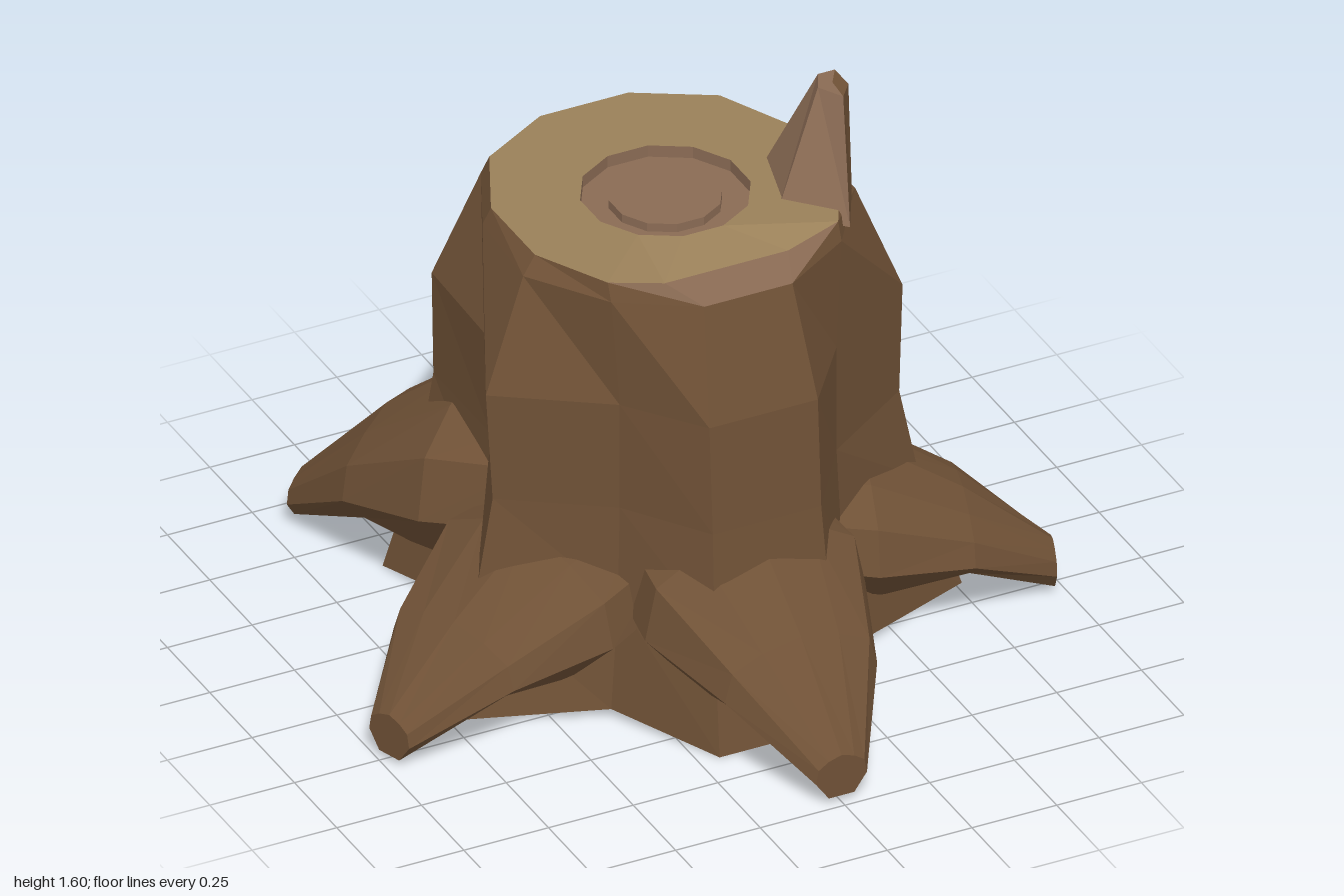
import * as THREE from 'three';

const material = (color) => new THREE.MeshStandardMaterial({ color, flatShading: true, roughness: 1 });
const bark = material(0x6f5136);
const cutWood = material(0x9a8059);
const coreWood = material(0x8a6b54);

// Skins a list of equal-length rings of [x, y, z]; optional fan caps at either end
function loft(rings, capStart = false, capEnd = false) {
  const pos = [];
  const tri = (a, b, c) => {
    const u = new THREE.Vector3(...a), v = new THREE.Vector3(...b), w = new THREE.Vector3(...c);
    if (v.clone().sub(u).cross(w.clone().sub(u)).length() > 1e-7) pos.push(...a, ...b, ...c);
  };
  const n = rings[0].length;
  const centre = (r) => [0, 1, 2].map((k) => r.reduce((s, p) => s + p[k], 0) / n);
  const first = rings[0], last = rings[rings.length - 1];
  for (let i = 0; i < n; i++) {
    const j = (i + 1) % n;
    for (let k = 0; k < rings.length - 1; k++) {
      const lo = rings[k], hi = rings[k + 1];
      tri(lo[i], lo[j], hi[i]);
      tri(lo[j], hi[j], hi[i]);
    }
    if (capStart) tri(centre(first), first[j], first[i]);
    if (capEnd) tri(centre(last), last[i], last[j]);
  }
  const geometry = new THREE.BufferGeometry();
  geometry.setAttribute('position', new THREE.Float32BufferAttribute(pos, 3));
  geometry.computeVertexNormals();
  return geometry;
}

function add(parent, name, geometry, mat) {
  const mesh = new THREE.Mesh(geometry, mat);
  mesh.name = name;
  parent.add(mesh);
  return mesh;
}

// Mirrors the left half of a ring (front to back) onto the right
const mirrored = (half) => [...half, ...half.map(([x, y, z]) => [-x, y, z]).reverse()];

// Ring at one height from its left half of [x, z]
const level = (y, pts) => mirrored(pts.map(([x, z]) => [x, y, z]));

// Twelve-sided circle around the heartwood, in step with the trunk corners
const circle = (r, y) => Array.from({ length: 12 }, (_, i) => {
  const a = (15 + 30 * i) * Math.PI / 180;
  return [r * Math.sin(a), y, -0.06 + r * Math.cos(a)];
});

// Tapering root along +z, given the height of its top at the trunk, shoulder and knee
function rootGeometry(trunkTop, shoulderTop, kneeTop) {
  // Each section is [distance, half width, bottom, top]
  const sections = [
    [0.25, 0.29, 0.15, trunkTop],
    [0.52, 0.325, 0.11, shoulderTop],
    [0.79, 0.225, 0.13, kneeTop],
    [1.03, 0.075, 0.02, 0.145],
  ];
  const outline = [[0.5, 0], [1, 0.42], [0.9, 0.75], [0.5, 0.91], [0, 1], [-0.5, 0.91], [-0.9, 0.75], [-1, 0.42], [-0.5, 0]];
  return loft(sections.map(([z, w, lo, hi]) =>
    outline.map(([x, t]) => [x * w, lo + (hi - lo) * t, z])), true, true);
}

export function createModel() {
  const model = new THREE.Group();
  model.name = 'treeStump';

  // Five-lobed trunk, flaring to a star at the ground with a hollowed underside
  const star = mirrored([[0.19, 0, 0.64], [0.36, 0.03, 0.34], [0.77, 0, 0.15],
    [0.47, 0.07, -0.18], [0.56, 0, -0.61], [0.06, 0.07, -0.46]]);
  const rim = mirrored([[0.13, 1.27, 0.43], [0.34, 1.32, 0.28], [0.45, 1.32, 0.07],
    [0.45, 1.32, -0.19], [0.34, 1.32, -0.42], [0.13, 1.32, -0.54]]);
  add(model, 'trunk', loft([
    circle(0.2, 0.07),
    star,
    level(0.35, [[0.17, 0.57], [0.33, 0.32], [0.655, 0.13], [0.46, -0.18], [0.49, -0.54], [0.06, -0.45]]),
    level(0.63, [[0.16, 0.54], [0.32, 0.31], [0.6, 0.12], [0.46, -0.17], [0.46, -0.51], [0.06, -0.45]]),
    level(0.95, [[0.16, 0.52], [0.32, 0.31], [0.615, 0.11], [0.48, -0.17], [0.47, -0.5], [0.08, -0.46]]),
    level(1.27, [[0.13, 0.43], [0.34, 0.30], [0.49, 0.08], [0.47, -0.2], [0.36, -0.43], [0.14, -0.54]]),
    rim,
  ], true), bark);

  // Chipped front edge, then the cut face sloping down to it from the heartwood
  const cutEdge = rim.map(([x, y, z]) => (z > 0.4 ? [x * 1.4, 1.285, 0.3] : [x, y, z]));
  add(model, 'chippedEdge', loft([rim, cutEdge]), coreWood);
  add(model, 'cutFace', loft([cutEdge, circle(0.23, 1.32)]), cutWood);

  // Recessed groove and heartwood disc
  add(model, 'heartwood', loft([
    circle(0.23, 1.32), circle(0.23, 1.285), circle(0.153, 1.285), circle(0.153, 1.31),
  ], false, true), coreWood);

  // Roots: front, two lower ones at the sides, two higher and wider ones at the back
  const frontRoot = rootGeometry(0.6, 0.575, 0.38);
  const sideRoot = rootGeometry(0.52, 0.495, 0.33);
  const backRoot = rootGeometry(0.67, 0.645, 0.42);
  for (const [name, geometry, degrees, width, length] of [
    ['frontRoot', frontRoot, 0, 1, 1],
    ['leftRoot', sideRoot, 72, 1, 1],
    ['rightRoot', sideRoot, -72, 1, 1],
    ['backLeftRoot', backRoot, 144.5, 1.12, 1.06],
    ['backRightRoot', backRoot, -144.5, 1.12, 1.06],
  ]) {
    const root = add(model, name, geometry, bark);
    root.rotation.y = degrees * Math.PI / 180;
    root.position.z = -0.05;
    root.scale.set(width, 1, length);
  }

  // Splinter left standing on the left edge: bark on its two outer faces, bare wood inside
  const foot = [[0.38, 0.27], [0.47, 0.1], [0.47, -0.14], [0.3, -0.1], [0.24, 0.12]];
  const tip = [[0.43, 0.13], [0.47, 0.08], [0.47, 0], [0.42, 0], [0.39, 0.06]];
  const splinter = loft([
    foot.map(([x, z]) => [x, 1.285, z]),
    tip.map(([x, z]) => [x, 1.6, z]),
  ], true, true);
  splinter.addGroup(0, 24, 0);
  splinter.addGroup(24, 36, 1);
  add(model, 'splinter', splinter, [bark, coreWood]);

  return model;
}
